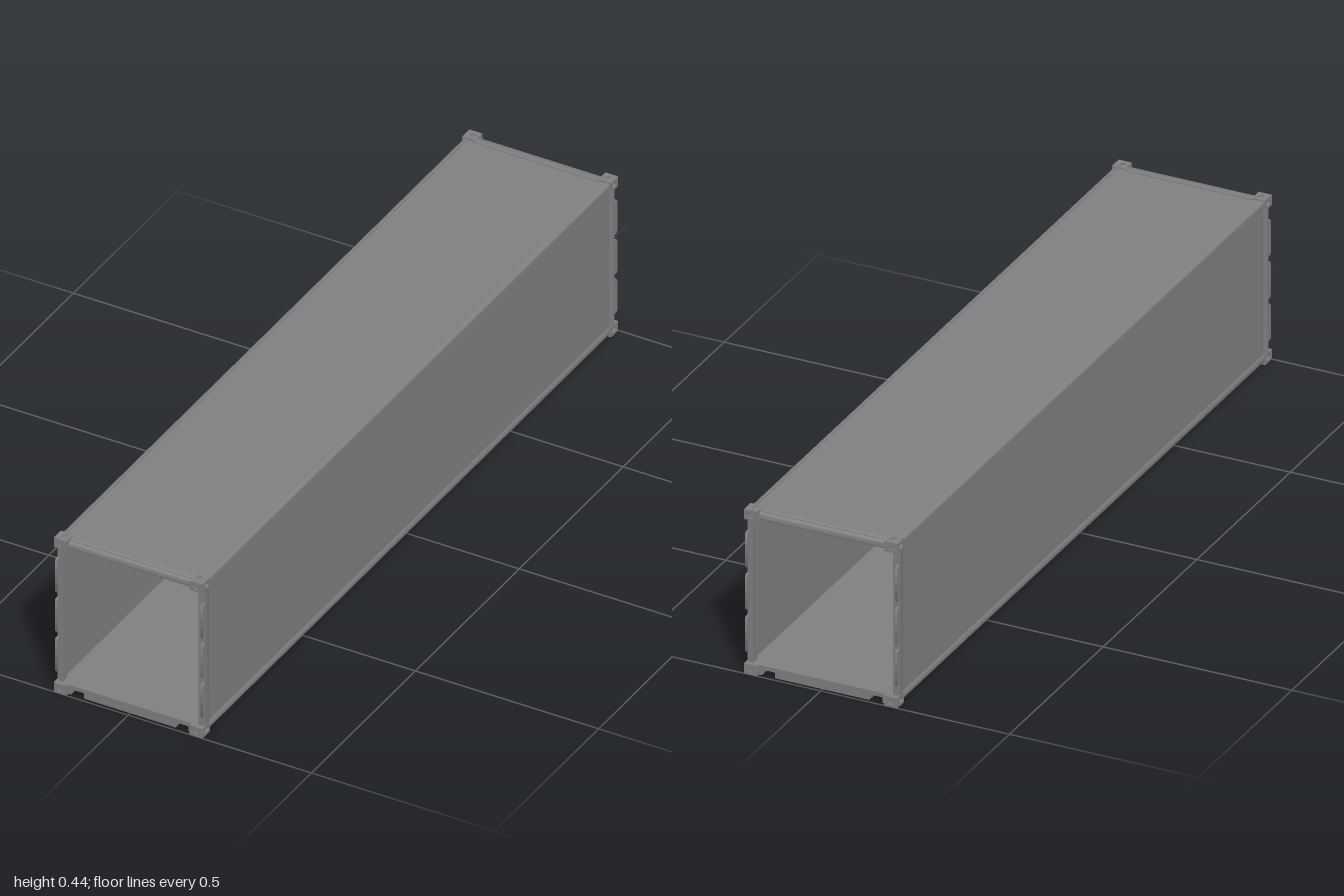
import * as THREE from 'three';
import { toCreasedNormals } from 'three/addons/utils/BufferGeometryUtils.js';

const mat = new THREE.MeshStandardMaterial({ color: 0x7f7f7f, side: THREE.DoubleSide });
const W = 0.203, H = 0.44, L = 1; // half width, height, half length

export function createModel() {
  const root = new THREE.Group();
  root.name = 'freightContainer';

  const add = (name, geo, parent = root) => {
    const m = new THREE.Mesh(geo, mat);
    m.name = name;
    parent.add(m);
    return m;
  };
  // box given by its lower and upper corner
  const box = (name, a, b, parent) => {
    const m = add(name, new THREE.BoxGeometry(b[0] - a[0], b[1] - a[1], b[2] - a[2]), parent);
    m.position.set((a[0] + b[0]) / 2, (a[1] + b[1]) / 2, (a[2] + b[2]) / 2);
    return m;
  };
  const outline = (pts) => new THREE.Shape(pts.map(([x, y]) => new THREE.Vector2(x, y)));
  // extruded outline, smooth across gentle bends only
  const prism = (pts, depth) =>
    toCreasedNormals(new THREE.ExtrudeGeometry(outline(pts), { depth, bevelEnabled: false }), 0.75);

  // long panels
  box('roof', [-0.193, 0.431, -0.985], [0.193, 0.436, 0.985]);
  box('floor', [-0.19, 0.02, -0.985], [0.19, 0.027, 0.985]);

  // side walls with rounded top and bottom rails
  for (const s of [-1, 1]) {
    const side = new THREE.Group();
    side.name = s > 0 ? 'leftSide' : 'rightSide';
    root.add(side);
    box('sideWall', [s * 0.1945 - 0.0025, 0.02, -0.97], [s * 0.1945 + 0.0025, 0.432, 0.97], side);
    const top = [[0.188, 0.426], [0.199, 0.426], [0.199, 0.434], [0.197, 0.437], [0.194, 0.438], [0.188, 0.438]];
    const low = [[0.183, 0.006], [0.19, 0.004], [0.196, 0.005], [0.2, 0.009],
      [0.201, 0.015], [0.2, 0.022], [0.197, 0.027], [0.183, 0.027]];
    for (const [name, pts] of [['topRail', top], ['bottomRail', low]]) {
      add(name, prism(pts.map(([x, y]) => [s * x, y]), 1.94), side).position.z = -0.97;
    }
  }

  // plate with an oval hole, facing +z
  const plate = (w, h, t, rx, ry) => {
    const shape = outline([[-w / 2, -h / 2], [w / 2, -h / 2], [w / 2, h / 2], [-w / 2, h / 2]]);
    const hole = new THREE.Path();
    hole.absellipse(0, 0, rx, ry, 0, Math.PI * 2, true);
    shape.holes.push(hole);
    return new THREE.ExtrudeGeometry(shape, { depth: t, bevelEnabled: false, curveSegments: 8 });
  };

  // hollow corner casting with holes in its three outer faces
  const casting = (sx, top, sz, parent) => {
    const g = new THREE.Group();
    g.name = 'cornerCasting';
    parent.add(g);
    const w = 0.035, h = 0.027, t = 0.005, sy = top ? 1 : -1;
    g.position.set(sx * (W - w / 2), top ? H - h / 2 : h / 2, sz * (L - w / 2));
    const core = add('castingCore', new THREE.BoxGeometry(w - t, h - t, w - t), g);
    core.position.set(-sx * t / 2, -sy * t / 2, -sz * t / 2);
    const end = add('castingEndFace', plate(w, h, t, 0.007, 0.008), g);
    end.rotation.y = sz > 0 ? 0 : Math.PI;
    end.position.z = sz * (w / 2 - t);
    const flank = add('castingSideFace', plate(w - t, h, t, 0.008, 0.007), g);
    flank.rotation.y = sx * Math.PI / 2;
    flank.position.set(sx * (w / 2 - t), 0, -sz * t / 2);
    const cap = add('castingCapFace', plate(w - t, w - t, t, 0.006, 0.01), g);
    cap.rotation.x = -sy * Math.PI / 2;
    cap.position.set(-sx * t / 2, sy * (h / 2 - t), -sz * t / 2);
  };

  // the two open end frames
  for (const sz of [-1, 1]) {
    const frame = new THREE.Group();
    frame.name = sz > 0 ? 'frontFrame' : 'backFrame';
    root.add(frame);

    // header beam with a rounded outer edge
    const header = prism([[0.96, 0.415], [0.99, 0.415], [0.992, 0.421], [0.991, 0.427],
      [0.988, 0.432], [0.983, 0.436], [0.977, 0.438], [0.96, 0.438]], 0.34);
    header.rotateY(-Math.PI / 2);
    header.translate(0.17, 0, 0);
    if (sz < 0) header.rotateY(Math.PI);
    add('header', header, frame);

    // sill with two fork pockets
    const sill = prism([[-0.17, 0.001], [-0.16, 0.001], [-0.16, 0.016], [-0.125, 0.016], [-0.125, 0.001],
      [0.125, 0.001], [0.125, 0.016], [0.16, 0.016], [0.16, 0.001], [0.17, 0.001], [0.17, 0.027], [-0.17, 0.027]], 0.028);
    add('sill', sill, frame).position.z = sz > 0 ? 0.964 : -0.992;

    for (const sx of [-1, 1]) {
      // corner post, stepped in section
      const section = [[0.185, 0.965], [0.2, 0.965], [0.202, 0.968], [0.202, 0.984],
        [0.196, 0.984], [0.196, 0.988], [0.185, 0.988]];
      const post = prism(section.map(([x, z]) => [sx * x, -sz * z]), H - 0.05);
      post.rotateX(-Math.PI / 2);
      add('cornerPost', post, frame).position.y = 0.025;

      // hinge lugs along the post, slightly tapered at both ends
      for (const y of [0.055, 0.168, 0.281]) {
        const lug = prism([[0.98, y], [0.993, y], [0.997, y + 0.005], [0.997, y + 0.091],
          [0.993, y + 0.096], [0.98, y + 0.096]], 0.007);
        lug.rotateY(-Math.PI / 2);
        lug.translate(0.0035, 0, 0);
        if (sz < 0) lug.rotateY(Math.PI);
        lug.translate(sx * 0.1985, 0, 0);
        add('hingeLug', lug, frame);
      }
      for (const top of [false, true]) casting(sx, top, sz, frame);
    }
  }
  return root;
}
